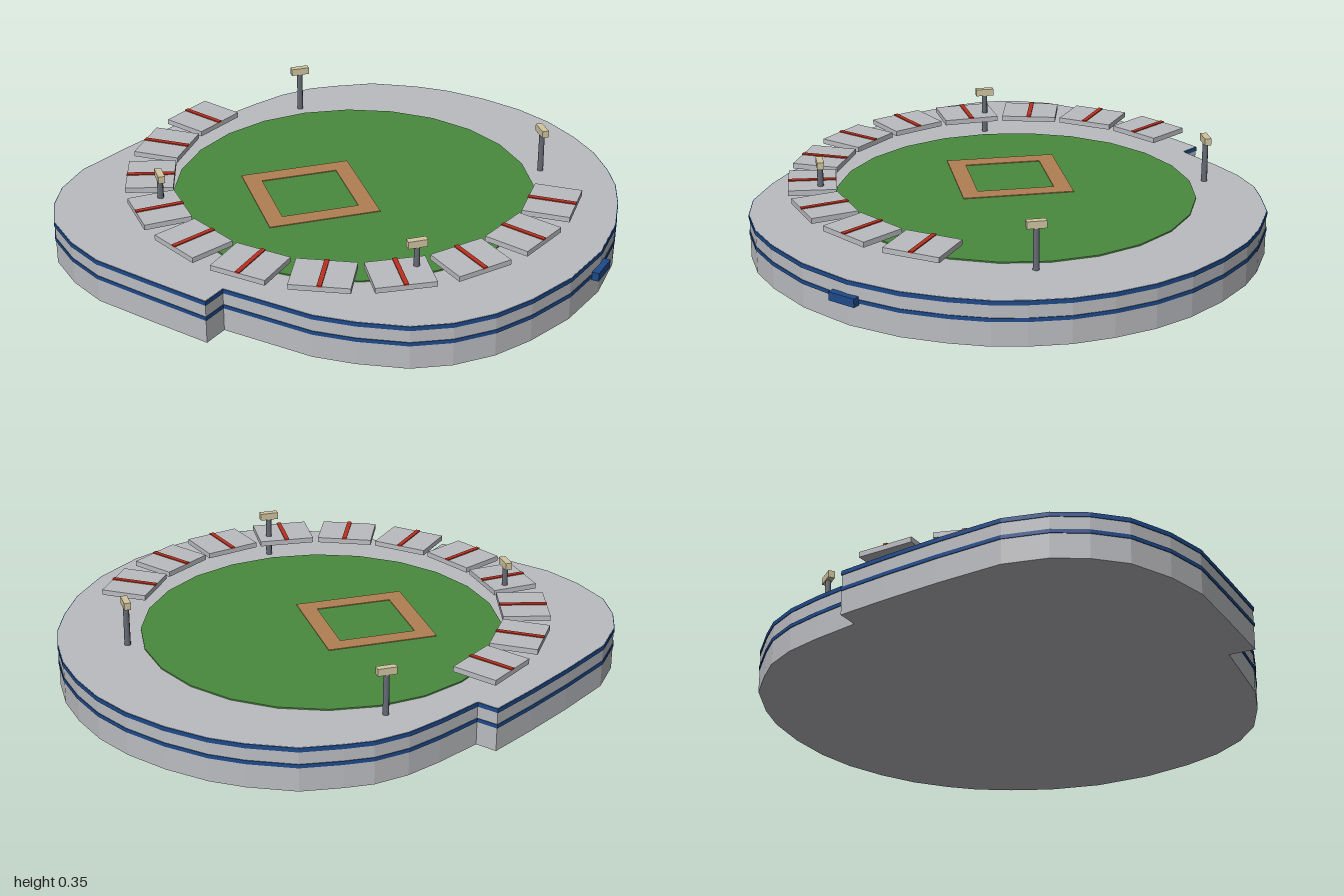
import * as THREE from 'three';

const mat = (name, color) => {
  const m = new THREE.MeshStandardMaterial({ color });
  m.name = name;
  return m;
};

// Ground plan of the stadium wall as [x, z], with a step at the front and at the side
const PLAN = [
  [-0.07, 0.84], [0.28, 0.845], [0.43, 0.815], [0.6, 0.757], [0.72, 0.67], [0.82, 0.55], [0.89, 0.41],
  [0.952, 0.22], [0.976, 0], [0.952, -0.2], [0.9, -0.36], [0.84, -0.49], [0.77, -0.59], [0.67, -0.7],
  [0.55, -0.79], [0.41, -0.867], [0.26, -0.917], [0.09, -0.942], [-0.08, -0.942], [-0.21, -0.918],
  [-0.38, -0.86], [-0.5, -0.77], [-0.58, -0.7], [-0.655, -0.59], [-0.71, -0.46], [-0.77, -0.285],
  [-0.85, -0.297], [-0.9, -0.11], [-0.95, 0.1], [-0.997, 0.34], [-0.98, 0.5], [-0.93, 0.62],
  [-0.85, 0.73], [-0.71, 0.822], [-0.56, 0.882], [-0.32, 0.911], [-0.08, 0.937],
];

// Plan pushed outward by d, keeping wall faces parallel
function offsetPlan(d) {
  const n = PLAN.length;
  const normal = (a, b) => new THREE.Vector2(-(b[1] - a[1]), b[0] - a[0]).normalize();
  return PLAN.map((p, i) => {
    const n1 = normal(PLAN[(i + n - 1) % n], p);
    const n2 = normal(p, PLAN[(i + 1) % n]);
    const m = n1.clone().add(n2).multiplyScalar(d / (1 + n1.dot(n2)));
    return [p[0] + m.x, p[1] + m.y];
  });
}

const toShape = (pts) => new THREE.Shape(pts.map(([x, z]) => new THREE.Vector2(x, -z)));

// Flat slab with the given plan between two heights
function slab(shape, y0, y1) {
  const g = new THREE.ExtrudeGeometry(shape, { depth: y1 - y0, bevelEnabled: false });
  g.rotateX(-Math.PI / 2);
  g.translate(0, y0, 0);
  return g;
}

export function createModel() {
  const concrete = mat('concrete', 0xbbbcc0);
  const blue = mat('blueTrim', 0x1e4a8a);
  const grass = mat('grass', 0x4a8a3f);
  const clay = mat('clay', 0xb07f52);
  const red = mat('redAisle', 0xb8301f);
  const steel = mat('steel', 0x666b75);
  const lamp = mat('lamp', 0xd0c5a0);

  const model = new THREE.Group();
  model.name = 'stadium';
  const add = (parent, name, geometry, material, x = 0, y = 0, z = 0) => {
    const m = new THREE.Mesh(geometry, material);
    m.name = name;
    m.position.set(x, y, z);
    parent.add(m);
    return m;
  };

  // Wall, deck and the two blue bands
  add(model, 'stadiumBase', slab(toShape(PLAN), 0, 0.167), concrete);
  const rim = toShape(offsetPlan(0.003));
  add(model, 'topTrim', slab(rim, 0.15, 0.166), blue);
  add(model, 'middleTrim', slab(rim, 0.09, 0.104), blue);
  add(model, 'entranceSign', new THREE.BoxGeometry(0.026, 0.032, 0.11), blue, 0.985, 0.099, 0.012);

  // Playing field and base path
  const field = new THREE.CylinderGeometry(0.674, 0.674, 0.008, 24);
  add(model, 'field', field, grass, -0.01, 0.168, 0);
  const diamond = (r) => [[r, 0], [0, -r], [-r, 0], [0, r]];
  const path = toShape(diamond(0.295));
  path.holes.push(new THREE.Path(diamond(0.205).map(([x, z]) => new THREE.Vector2(x, -z))));
  add(model, 'basePath', slab(path, 0.17, 0.175), clay, -0.135, 0, 0.115);

  // Ring of seating panels, each with a red aisle
  for (let i = 0; i < 11; i++) {
    const angle = THREE.MathUtils.degToRad(-10 + i * 20);
    const stand = new THREE.Group();
    stand.name = 'stand' + (i + 1);
    stand.position.set(-0.01 + 0.753 * Math.cos(angle), 0, 0.753 * Math.sin(angle));
    stand.rotation.y = -angle;
    add(stand, 'seatingPanel', new THREE.BoxGeometry(0.176, 0.02, 0.215), concrete, 0, 0.236, 0);
    add(stand, 'aisle', new THREE.BoxGeometry(0.178, 0.006, 0.017), red, 0, 0.247, 0);
    model.add(stand);
  }

  // Floodlights facing the middle of the field
  const lights = [[-0.53, -0.515, 1], [0.545, -0.47, -1], [0.503, 0.512, 1], [-0.53, 0.512, -1]];
  for (const [x, z, turn] of lights) {
    const light = new THREE.Group();
    light.name = 'floodlight';
    light.position.set(x, 0, z);
    light.rotation.y = turn * Math.PI / 4;
    add(light, 'pole', new THREE.CylinderGeometry(0.011, 0.012, 0.162, 8), steel, 0, 0.243, 0);
    add(light, 'lampHead', new THREE.BoxGeometry(0.07, 0.027, 0.025), lamp, 0, 0.334, 0);
    model.add(light);
  }
  return model;
}
